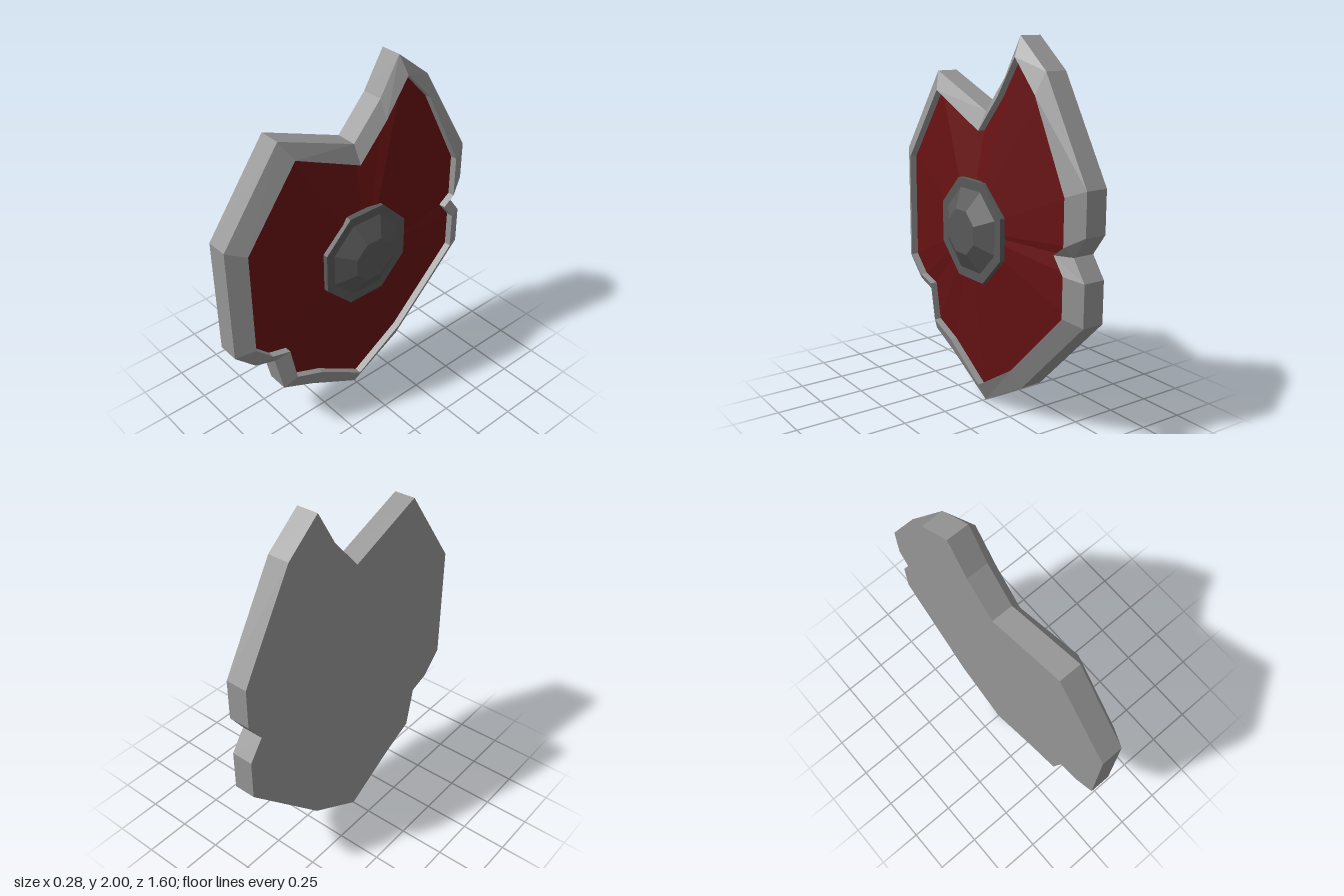
import * as THREE from 'three';

// Broken shield facing +x. Outlines are [z, y], running anticlockwise seen from the face.
const OUTER = [
  [0, 1.61], [0.46, 1.79], [0.8, 1.32], [0.8, 0.66], [0.68, 0.54], [0.56, 0.5],
  [0.51, 0.27], [0.32, 0.18], [0, 0], [-0.33, 0.19], [-0.8, 0.66], [-0.8, 0.88],
  [-0.72, 0.99], [-0.8, 1.1], [-0.8, 1.32], [-0.49, 1.84], [-0.29, 2], [-0.17, 1.8],
];
const INNER = [
  [0, 1.51], [0.4, 1.69], [0.7, 1.28], [0.7, 0.69], [0.6, 0.59], [0.49, 0.56],
  [0.45, 0.35], [0.28, 0.28], [0, 0.1], [-0.3, 0.29], [-0.7, 0.69], [-0.7, 0.9],
  [-0.63, 0.99], [-0.7, 1.04], [-0.7, 1.28], [-0.47, 1.73], [-0.31, 1.9], [-0.17, 1.7],
];
const BACK = -0.14, EDGE = -0.02, LIP = 0.03, RECESS = -0.01, CENTRE_Y = 0.99;

const ring = (outline, x) => outline.map(([z, y]) => [x, y, z]);

// Quads between consecutive rings with equal point counts
function loft(rings) {
  const pos = [];
  for (let r = 0; r < rings.length - 1; r++) {
    const a = rings[r], b = rings[r + 1];
    for (let i = 0; i < a.length; i++) {
      const j = (i + 1) % a.length;
      pos.push(...a[i], ...a[j], ...b[j], ...a[i], ...b[j], ...b[i]);
    }
  }
  return finish(pos);
}

// Triangles from a ring to one raised point
function fan(edge, apex) {
  const pos = [];
  edge.forEach((p, i) => pos.push(...p, ...edge[(i + 1) % edge.length], ...apex));
  return finish(pos);
}

function finish(pos) {
  const g = new THREE.BufferGeometry();
  g.setAttribute('position', new THREE.Float32BufferAttribute(pos, 3));
  g.computeVertexNormals();
  return g;
}

export function createModel() {
  const group = new THREE.Group();
  const material = (name, color) => {
    const m = new THREE.MeshStandardMaterial({ color, flatShading: true });
    m.name = name;
    return m;
  };
  const rimGrey = material('rim grey', 0x969696);
  const bossGrey = material('boss dark grey', 0x595959);
  const faceRed = material('face red', 0x671213);
  const add = (name, geometry, mat) => {
    const mesh = new THREE.Mesh(geometry, mat);
    mesh.name = name;
    group.add(mesh);
    return mesh;
  };

  // Backing slab with the chipped outline
  const shape = new THREE.Shape(OUTER.map(([z, y]) => new THREE.Vector2(-z, y)));
  const slab = new THREE.ExtrudeGeometry(shape, { depth: EDGE - BACK, bevelEnabled: false });
  slab.rotateY(Math.PI / 2).translate(BACK, 0, 0);
  add('backing', slab, rimGrey);

  // Sloped rim, then its inner wall down to the recessed face
  add('rim', loft([ring(OUTER, EDGE), ring(INNER, LIP), ring(INNER, RECESS)]), rimGrey);

  // Shallow faceted face rising to the middle
  add('face', fan(ring(INNER, RECESS), [0.09, CENTRE_Y, 0]), faceRed);

  // Octagonal boss: flat plate with a truncated dome
  const profile = [
    [0, 0.045], [0.289, 0.045], [0.289, 0.08], [0.236, 0.08], [0.125, 0.14], [0, 0.14],
  ].map(([r, h]) => new THREE.Vector2(r, h));
  const boss = new THREE.LatheGeometry(profile, 8, Math.PI / 8);
  boss.rotateZ(-Math.PI / 2).translate(0, CENTRE_Y, 0);
  add('boss', boss, bossGrey);

  return group;
}
